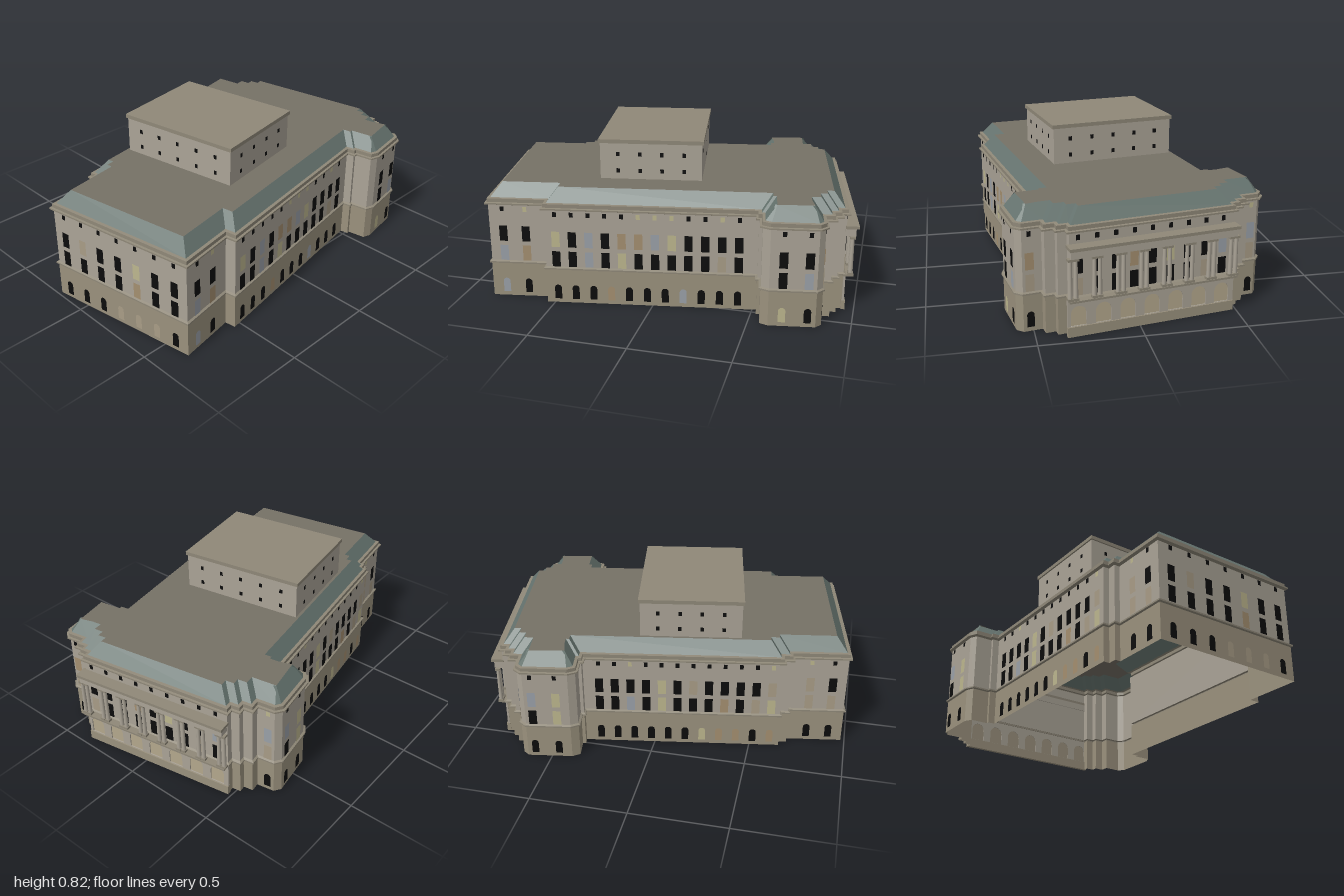
import * as THREE from 'three';

const COLORS = {
  base: 0x9a917d, wall: 0xaaa396, trim: 0x8f8878, slate: 0x66746f,
  roof: 0x767166, dark: 0x0c0c0c, panel: 0xb3a78c,
};
const LIT = [0xa48f70, 0xbcb68e, 0x9aa0a8, 0xa89c86];
const mats = {};
const mat = (c) => (mats[c] ??= new THREE.MeshStandardMaterial({ color: c, side: THREE.DoubleSide }));

let seed = 7;
const rand = () => (seed = (seed * 16807) % 2147483647) / 2147483647;

// Cornice line of the building as [x, z], clockwise from above
const frontHalf = [
  [0.885, 0.43], [0.85, 0.43], [0.85, 0.475], [0.815, 0.475], [0.815, 0.525],
  [0.768, 0.525], [0.768, 0.61], [0.73, 0.645], [0.49, 0.645], [0.44, 0.62],
  [0.44, 0.53], [0.423, 0.53], [0.423, 0.487],
];
const OUTLINE = [
  ...frontHalf,
  [-0.65, 0.487], [-0.65, 0.43], [-0.95, 0.43], [-0.95, -0.43],
  [-0.655, -0.43], [-0.655, -0.46], [-0.61, -0.46], [-0.61, -0.492],
  ...frontHalf.map(([x, z]) => [x, z === 0.487 ? -0.492 : -z]).reverse(),
];

// Moves every edge of the outline inwards by d, with mitred corners
function inset(d) {
  const n = OUTLINE.length;
  const normal = (a, b) => {
    const l = Math.hypot(b[0] - a[0], b[1] - a[1]);
    return [-(b[1] - a[1]) / l, (b[0] - a[0]) / l];
  };
  return OUTLINE.map((p, i) => {
    const a = normal(OUTLINE[(i + n - 1) % n], p), b = normal(p, OUTLINE[(i + 1) % n]);
    const k = d / (1 + a[0] * b[0] + a[1] * b[1]);
    return [p[0] + k * (a[0] + b[0]), p[1] + k * (a[1] + b[1])];
  });
}

// Sweeps a profile of [inset, y] points around the outline
function band(parent, name, color, profile) {
  const pos = [];
  for (let k = 0; k < profile.length - 1; k++) {
    const [d0, y0] = profile[k], [d1, y1] = profile[k + 1];
    const lo = inset(d0), hi = inset(d1);
    lo.forEach((p, i) => {
      const j = (i + 1) % lo.length;
      const a = [p[0], y0, p[1]], b = [lo[j][0], y0, lo[j][1]];
      const c = [hi[j][0], y1, hi[j][1]], e = [hi[i][0], y1, hi[i][1]];
      pos.push(...a, ...e, ...c, ...a, ...c, ...b);
    });
  }
  const g = new THREE.BufferGeometry();
  g.setAttribute('position', new THREE.Float32BufferAttribute(pos, 3));
  g.computeVertexNormals();
  add(parent, name, g, color);
}

function add(parent, name, geo, color, x = 0, y = 0, z = 0) {
  const m = new THREE.Mesh(geo, mat(color));
  m.name = name;
  m.position.set(x, y, z);
  parent.add(m);
  return m;
}

// Box given by its bounds
const block = (parent, name, color, x0, x1, y0, y1, z0, z1) =>
  add(parent, name, new THREE.BoxGeometry(x1 - x0, y1 - y0, z1 - z0), color,
    (x0 + x1) / 2, (y0 + y1) / 2, (z0 + z1) / 2);

// Round-headed opening standing on y
function arch(PathType, x, y, w, h) {
  const r = w / 2, p = new PathType();
  p.moveTo(x - r, y);
  p.lineTo(x + r, y);
  p.lineTo(x + r, y + h - r);
  p.absarc(x, y + h - r, r, 0, Math.PI, false);
  p.lineTo(x - r, y);
  return p;
}

const smallPane = new THREE.PlaneGeometry(0.02, 0.026);
const tallPane = new THREE.PlaneGeometry(0.042, 0.084);
const archPane = new THREE.ShapeGeometry(arch(THREE.Shape, 0, 0, 0.036, 0.078), 8);
const paneColor = () => (rand() < 0.68 ? COLORS.dark : LIT[Math.floor(rand() * LIT.length)]);
const spread = (n, step) => Array.from({ length: n }, (_, i) => (i - (n - 1) / 2) * step);

// Windows of one wall: attic, two main storeys and arched ground floor
function wallWindows(parent, name, x, z, angle, upper, ground = upper) {
  const g = new THREE.Group();
  g.name = name;
  g.position.set(x, 0, z);
  g.rotation.y = angle;
  for (const c of upper) {
    add(g, 'atticWindow', smallPane, rand() < 0.85 ? COLORS.dark : LIT[1], c, 0.486, 0.003);
    for (const y of [0.352, 0.245]) add(g, 'tallWindow', tallPane, paneColor(), c, y, 0.003);
  }
  for (const c of ground) add(g, 'archedWindow', archPane, paneColor(), c, 0.022, 0.003);
  parent.add(g);
}

// Columned porch on the right-hand end
function addPorch(parent) {
  const g = new THREE.Group();
  g.name = 'porch';
  const mid = 0.01, bay = 0.122, z0 = -0.42, z1 = 0.43;
  const slab = new THREE.Shape([[z0, 0.05], [z1, 0.05], [z1, 0.185], [z0, 0.185]]
    .map(([a, b]) => new THREE.Vector2(-a, b)));
  for (const c of spread(7, bay)) {
    slab.holes.push(arch(THREE.Path, -(mid + c), 0.052, 0.076, 0.1));
    const panel = new THREE.ShapeGeometry(arch(THREE.Shape, 0, 0.052, 0.076, 0.1), 12);
    add(g, 'archPanel', panel, COLORS.panel, 0.873, 0, mid + c).rotation.y = Math.PI / 2;
  }
  const arcade = new THREE.ExtrudeGeometry(slab, { depth: 0.01, bevelEnabled: false, curveSegments: 12 });
  add(g, 'arcade', arcade, COLORS.wall, 0.869).rotation.y = Math.PI / 2;
  block(g, 'plinth', COLORS.base, 0.865, 0.885, 0, 0.05, z0, z1);
  block(g, 'balconyLedge', COLORS.trim, 0.865, 0.918, 0.185, 0.195, z0, z1);
  block(g, 'entablature', COLORS.wall, 0.865, 0.918, 0.4, 0.44, z0 + 0.008, z1 - 0.008);
  block(g, 'entablatureCornice', COLORS.trim, 0.865, 0.932, 0.44, 0.455, z0, z1);

  // Paired columns between the bays
  const shaft = new THREE.CylinderGeometry(0.009, 0.011, 0.19, 12);
  for (const c of spread(8, 0.1155)) for (const s of [-0.0135, 0.0135]) {
    const z = 0.005 + c + s;
    add(g, 'column', shaft, COLORS.wall, 0.902, 0.3, z);
    block(g, 'columnBase', COLORS.trim, 0.889, 0.915, 0.195, 0.207, z - 0.013, z + 0.013);
    block(g, 'columnCapital', COLORS.trim, 0.889, 0.915, 0.388, 0.4, z - 0.013, z + 0.013);
  }
  parent.add(g);
}

// Tall stage tower rising through the roof
function addTower(parent) {
  const g = new THREE.Group();
  g.name = 'stageTower';
  const w = 0.522, d = 0.655;
  block(g, 'towerWalls', COLORS.wall, -w / 2, w / 2, 0.6, 0.805, -d / 2, d / 2);
  block(g, 'towerCornice', COLORS.trim, -w / 2 - 0.008, w / 2 + 0.008, 0.8, 0.82, -d / 2 - 0.008, d / 2 + 0.008);
  const pane = new THREE.PlaneGeometry(0.018, 0.022);
  for (let side = 0; side < 4; side++) {
    const face = new THREE.Group();
    face.name = 'towerWindows';
    face.rotation.y = side * Math.PI / 2;
    const reach = (side % 2 ? w : d) / 2 + 0.002;
    for (const c of side % 2 ? spread(5, 0.119) : spread(4, 0.113))
      for (const y of [0.742, 0.655]) add(face, 'towerWindow', pane, COLORS.dark, c, y, reach);
    g.add(face);
  }
  g.position.set(-0.118, 0, -0.07);
  parent.add(g);
}

export function createModel() {
  const model = new THREE.Group();
  model.name = 'theatre';
  const b = new THREE.Group();
  b.name = 'building';
  b.rotation.y = 0.164;
  b.position.set(0.012, 0, 0.074);
  model.add(b);

  // Walls, mouldings and roof, from the ground up
  band(b, 'groundFloorWalls', COLORS.base, [[0.013, 0], [0.013, 0.185]]);
  band(b, 'stringCourse', COLORS.trim, [[0.013, 0.183], [0.004, 0.187], [0.004, 0.195], [0.015, 0.2]]);
  band(b, 'upperWalls', COLORS.wall, [[0.015, 0.198], [0.015, 0.508]]);
  band(b, 'cornice', COLORS.trim,
    [[0.015, 0.505], [0, 0.511], [0, 0.519], [0.011, 0.521], [0.011, 0.54], [0.028, 0.542]]);
  band(b, 'roofSlopes', COLORS.slate, [[0.026, 0.541], [0.08, 0.61]]);
  const top = new THREE.Shape(inset(0.08).map(([x, z]) => new THREE.Vector2(x, -z)));
  add(b, 'flatRoof', new THREE.ShapeGeometry(top), COLORS.roof, 0, 0.61, 0).rotation.x = -Math.PI / 2;

  // Windows
  const H = Math.PI / 2;
  wallWindows(b, 'frontWindows', -0.118, 0.474, 0, spread(12, 0.084), spread(11, 0.092));
  wallWindows(b, 'backWindows', -0.095, -0.479, Math.PI, spread(12, 0.082), spread(11, 0.09));
  for (const s of [1, -1]) {
    const turn = s > 0 ? 0 : Math.PI;
    wallWindows(b, 'endBlockWindows', -0.805, s * 0.417, turn, spread(2, 0.117));
    wallWindows(b, 'pavilionWindows', 0.622, s * 0.632, turn, spread(2, 0.125));
    wallWindows(b, 'pavilionSideWindows', 0.755, s * 0.57, H, [0]);
  }
  wallWindows(b, 'leftEndWindows', -0.937, 0, -H, spread(7, 0.115));
  wallWindows(b, 'porchWindows', 0.872, 0.01, H, spread(9, 0.091), []);

  addPorch(b);
  addTower(b);
  return model;
}
